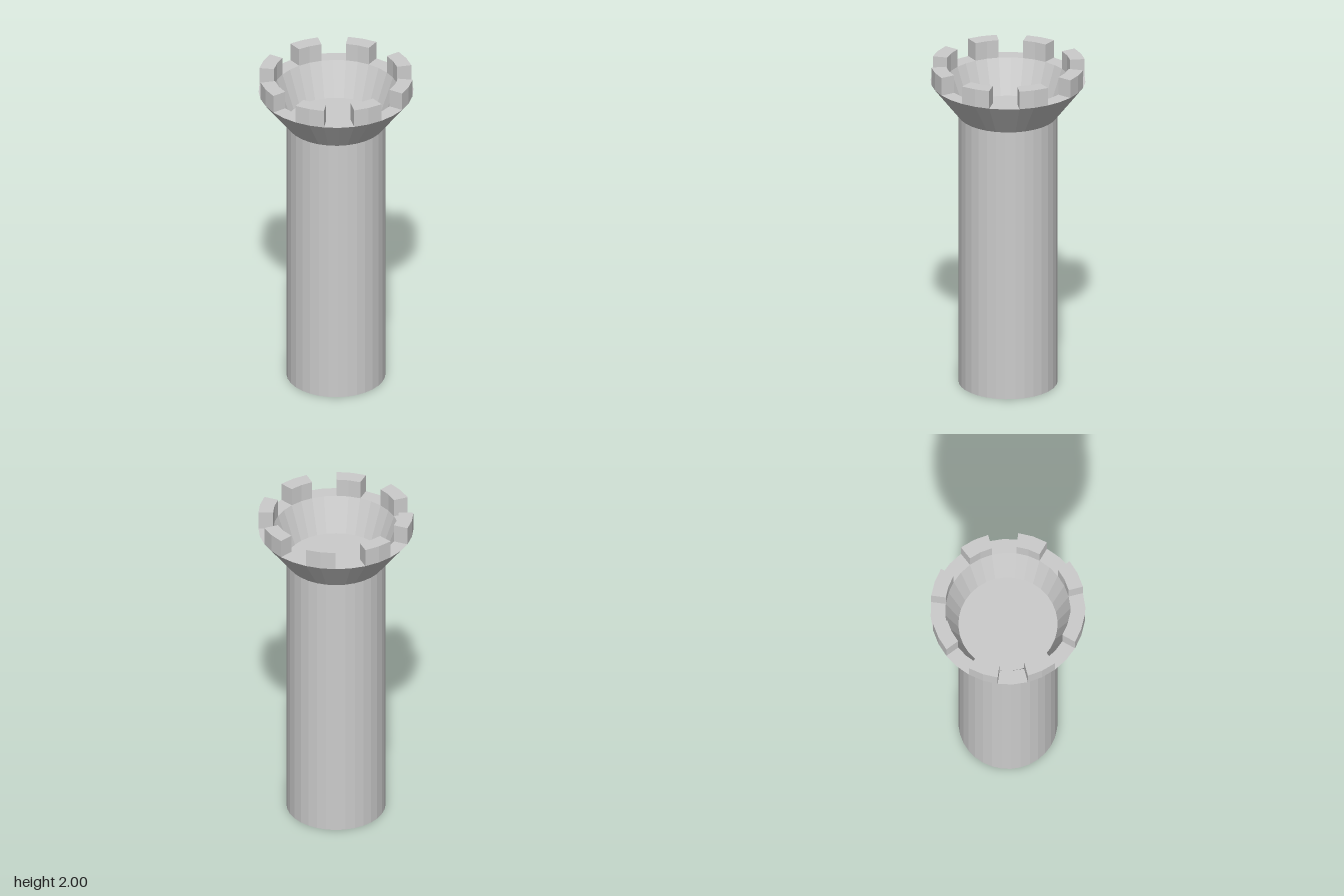
import * as THREE from 'three';

const SEGMENTS = 32;
const SHAFT_R = 0.29, RIM_OUTER = 0.453, RIM_INNER = 0.367;
const SHAFT_TOP = 1.68, RIM_Y = 1.89, TOP = 2;

export function createModel() {
  const model = new THREE.Group();
  model.name = 'watchtower';
  const material = new THREE.MeshStandardMaterial({ color: 0xcccccc, flatShading: true });

  const addLathe = (name, profile) => {
    const points = profile.map(([r, y]) => new THREE.Vector2(r, y));
    const mesh = new THREE.Mesh(new THREE.LatheGeometry(points, SEGMENTS), material);
    mesh.name = name;
    model.add(mesh);
  };

  // Round shaft, whose top is the floor of the parapet
  addLathe('shaft', [[0, 0], [SHAFT_R, 0], [SHAFT_R, SHAFT_TOP], [0, SHAFT_TOP]]);

  // Flared parapet: outer cone, flat rim, sloping inner wall
  addLathe('parapet', [
    [SHAFT_R, SHAFT_TOP], [RIM_OUTER, RIM_Y], [RIM_INNER, RIM_Y], [SHAFT_R, SHAFT_TOP],
  ]);

  // Merlon: two rim segments wide, starting at the front and running towards +x
  const step = (Math.PI * 2) / SEGMENTS;
  const onRing = (r, i) => new THREE.Vector2(r * Math.sin(i * step), -r * Math.cos(i * step));
  const outline = new THREE.Shape([
    ...[0, 1, 2].map((i) => onRing(RIM_OUTER, i)),
    ...[2, 1, 0].map((i) => onRing(RIM_INNER, i)),
  ]);
  const merlonGeometry = new THREE.ExtrudeGeometry(outline, { depth: TOP - RIM_Y, bevelEnabled: false });
  merlonGeometry.rotateX(-Math.PI / 2);

  // Eight merlons with equal gaps between them
  const battlements = new THREE.Group();
  battlements.name = 'battlements';
  for (let k = 0; k < 8; k++) {
    const merlon = new THREE.Mesh(merlonGeometry, material);
    merlon.name = `merlon${k + 1}`;
    merlon.position.y = RIM_Y;
    merlon.rotation.y = (k * Math.PI) / 4;
    battlements.add(merlon);
  }
  model.add(battlements);

  return model;
}
